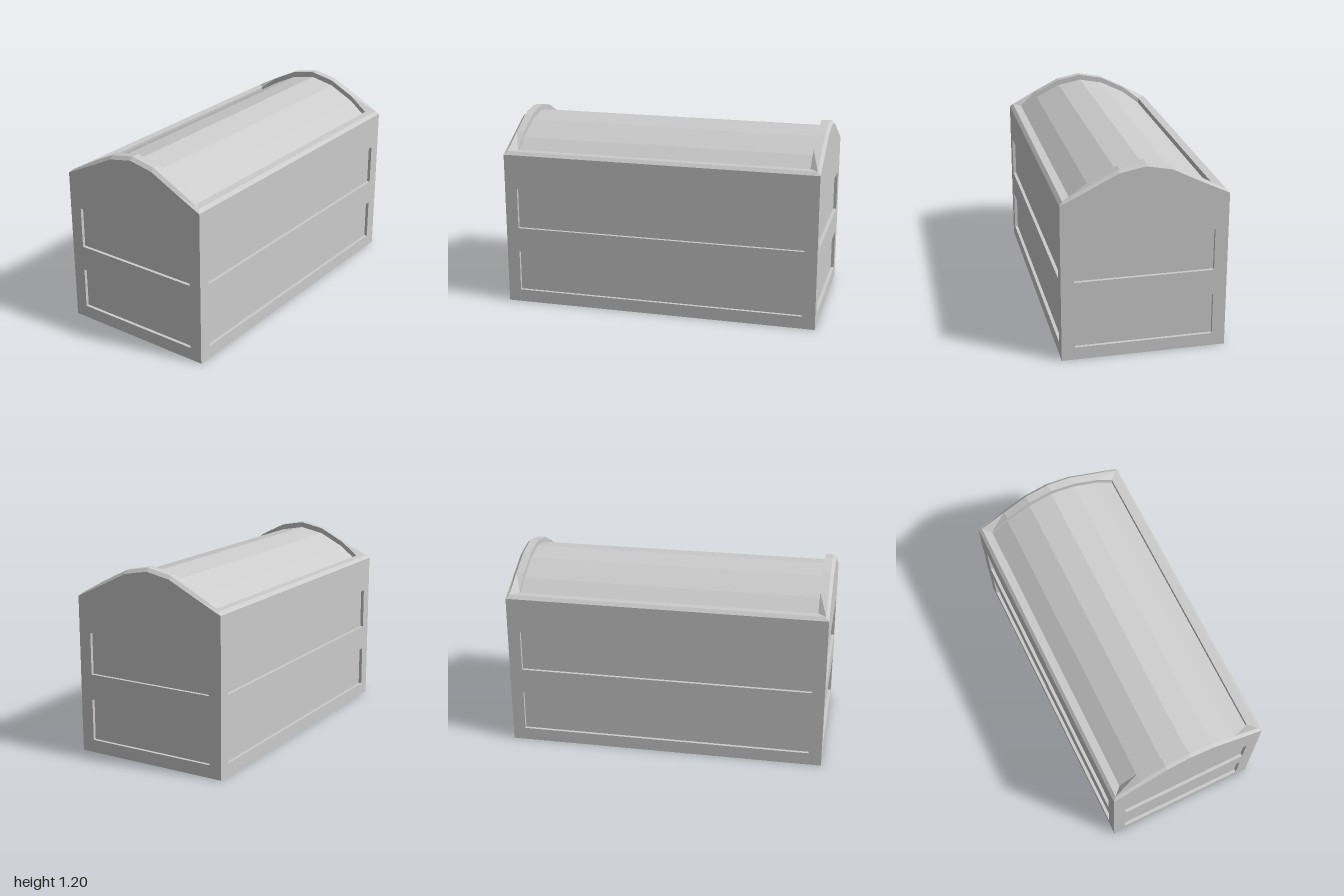
import * as THREE from 'three';

const DEPTH = 0.02; // depth of the recessed wall panels
const FLOOR_Y = 0.06;
const PANEL_ROWS = [[0.08, 0.34], [0.5, 0.76]];

// Gable heights at the rim's outer edge, from the eave to the ridge
const GABLE = [[0.5, 0.98], [0.315, 1.07], [0.155, 1.15], [0, 1.18]];

const material = new THREE.MeshStandardMaterial({ color: 0xcccccc, flatShading: true });
const thinMaterial = new THREE.MeshStandardMaterial({ color: 0xcccccc, flatShading: true, side: THREE.DoubleSide });

// Flat-shaded mesh from four-cornered faces
function quadMesh(name, quads, mat = material) {
  const pos = [];
  for (const [a, b, c, d] of quads) pos.push(...a, ...b, ...c, ...a, ...c, ...d);
  const geo = new THREE.BufferGeometry();
  geo.setAttribute('position', new THREE.Float32BufferAttribute(pos, 3));
  geo.computeVertexNormals();
  const mesh = new THREE.Mesh(geo, mat);
  mesh.name = name;
  return mesh;
}

// Closed loop round the lid: right gable front to back, then left gable back to front
function rimLoop(x, eaveZ, eaveY, lift) {
  const half = GABLE.map(([z, y], i) => (i === 0 ? [eaveZ, eaveY] : [z, y + lift]));
  const profile = [...half, ...half.slice(0, -1).reverse().map(([z, y]) => [-z, y])];
  return [
    ...profile.map(([z, y]) => [x, y, z]),
    ...profile.slice().reverse().map(([z, y]) => [-x, y, z]),
  ];
}

function loft(a, b) {
  return a.map((p, i) => {
    const j = (i + 1) % a.length;
    return [p, a[j], b[j], b[i]];
  });
}

// Wall facing +z with two sunken panels; top is the outline from right to left
function makeWall(name, halfWidth, top) {
  const wall = new THREE.Group();
  wall.name = name;
  const shape = new THREE.Shape(
    [[-halfWidth, 0], [halfWidth, 0], ...top].map(([x, y]) => new THREE.Vector2(x, y)));
  const w = halfWidth - 0.08;
  const quads = [];
  for (const [y0, y1] of PANEL_ROWS) {
    const corners = [[-w, y0], [w, y0], [w, y1], [-w, y1]];
    shape.holes.push(new THREE.Path(corners.map(([x, y]) => new THREE.Vector2(x, y)).reverse()));
    const outer = corners.map(([x, y]) => [x, y, 0]);
    const inner = corners.map(([x, y]) => [x, y, -DEPTH]);
    quads.push(...loft(outer, inner), inner);
  }
  const face = new THREE.Mesh(new THREE.ShapeGeometry(shape), thinMaterial);
  face.name = name + 'Face';
  wall.add(face, quadMesh(name + 'Panels', quads, thinMaterial));
  return wall;
}

export function createModel() {
  const model = new THREE.Group();
  model.name = 'chest';

  // Four walls: long sides straight on top, ends with gables
  const eave = [[1, 0.98], [-1, 0.98]];
  const gable = [...GABLE, ...GABLE.slice(0, -1).reverse().map(([z, y]) => [-z, y])];
  [['frontWall', 1, 0.5, eave], ['leftEnd', 0.5, 1, gable],
    ['backWall', 1, 0.5, eave], ['rightEnd', 0.5, 1, gable]].forEach(([name, half, dist, top], i) => {
    const wall = makeWall(name, half, top);
    wall.rotation.y = i * Math.PI / 2;
    wall.position.set(Math.sin(wall.rotation.y) * dist, 0, Math.cos(wall.rotation.y) * dist);
    model.add(wall);
  });

  // Lid rim: outer bevel, top band and the inner drop to the lid panel
  const loops = [
    rimLoop(1, 0.5, 0.98, 0),
    rimLoop(0.98, 0.48, 1.0, 0.02),
    rimLoop(0.93, 0.43, 1.0, 0.02),
    rimLoop(0.93, 0.43, 0.965, -0.015),
  ];
  const rim = loops.slice(1).flatMap((loop, i) => loft(loops[i], loop));
  model.add(quadMesh('lidRim', rim));

  // Sunken faceted lid panel
  const d = loops[3];
  const n = d.length;
  const lid = [];
  for (let i = 0; i < n / 2 - 1; i++) lid.push([d[i], d[i + 1], d[n - 2 - i], d[n - 1 - i]]);
  model.add(quadMesh('lidPanel', lid));

  // Floor, raised above the lower edge of the walls
  const floor = [[-1, FLOOR_Y, -0.5], [1, FLOOR_Y, -0.5], [1, FLOOR_Y, 0.5], [-1, FLOOR_Y, 0.5]];
  model.add(quadMesh('floor', [floor], thinMaterial));

  return model;
}
